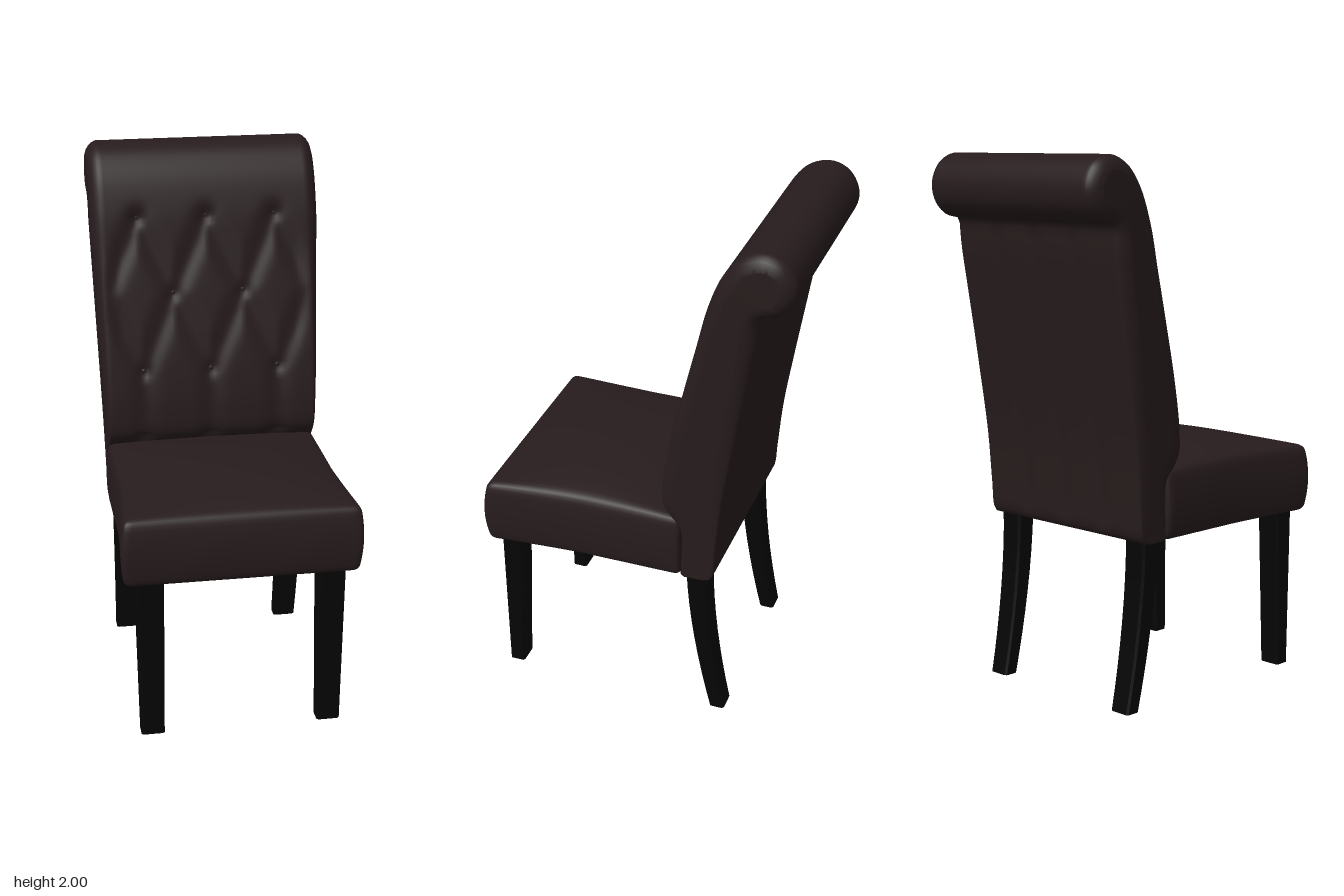
import * as THREE from 'three';
import { mergeVertices } from 'three/addons/utils/BufferGeometryUtils.js';

const leather = new THREE.MeshStandardMaterial({ color: 0x271c1d });
leather.name = 'brown leather';
const wood = new THREE.MeshStandardMaterial({ color: 0x050505 });
wood.name = 'black wood';
const lining = new THREE.MeshStandardMaterial({ color: 0x50442e });
lining.name = 'olive lining';

function add(group, name, geometry, material) {
  const mesh = new THREE.Mesh(geometry, material);
  mesh.name = name;
  group.add(mesh);
  return mesh;
}

function indexed(positions, index) {
  const g = new THREE.BufferGeometry();
  g.setAttribute('position', new THREE.Float32BufferAttribute(positions, 3));
  g.setIndex(index);
  g.computeVertexNormals();
  return g;
}

// Smooth (z, y) curve through a few points
const spline = (pts, n) =>
  new THREE.CatmullRomCurve3(pts.map(([z, y]) => new THREE.Vector3(z, y, 0)), false, 'centripetal')
    .getSpacedPoints(n).map((p) => new THREE.Vector2(p.x, p.y));

const FRONT = spline([[-0.19, 0.63], [-0.186, 0.84], [-0.15, 0.885], [-0.122, 0.93], [-0.12, 1.02], [-0.147, 1.2],
  [-0.192, 1.4], [-0.24, 1.6], [-0.285, 1.78], [-0.335, 1.9], [-0.4, 1.975], [-0.48, 2.0], [-0.55, 1.972],
  [-0.588, 1.9], [-0.578, 1.83], [-0.535, 1.78], [-0.47, 1.762]], 110);
const REAR = spline([[-0.46, 1.74], [-0.453, 1.66], [-0.424, 1.48], [-0.378, 1.2], [-0.34, 0.95],
  [-0.322, 0.75], [-0.312, 0.645], [-0.295, 0.625], [-0.205, 0.62]], 50);
const PROFILE = [...FRONT, ...REAR];

// Tufting: buttons and the folds running between them
const BUTTONS = [[-0.265, 1.74], [0, 1.74], [0.265, 1.74], [-0.135, 1.46], [0.135, 1.46],
  [-0.26, 1.17], [0, 1.17], [0.26, 1.17]];
const FOLDS = [];
for (const s of [-1, 1]) {
  for (const y of [1.74, 1.17]) {
    FOLDS.push([s * 0.135, 1.46, 0, y], [s * 0.135, 1.46, s * 0.262, y], [s * 0.4, 1.46, s * 0.262, y]);
  }
  FOLDS.push([s * 0.26, 1.17, s * 0.26, 0.9]);
}
FOLDS.push([0, 1.17, 0, 0.9]);

function segmentDistance(x, y, [ax, ay, bx, by]) {
  const dx = bx - ax, dy = by - ay;
  const t = THREE.MathUtils.clamp(((x - ax) * dx + (y - ay) * dy) / (dx * dx + dy * dy), 0, 1);
  return Math.hypot(x - ax - t * dx, y - ay - t * dy);
}

function frontDent(x, y) {
  const fold = Math.min(...FOLDS.map((f) => segmentDistance(x, y, f)));
  const button = Math.min(...BUTTONS.map(([bx, by]) => Math.hypot(x - bx, y - by)));
  return 0.014 * Math.exp(-((fold / 0.04) ** 2)) + 0.014 * Math.exp(-((button / 0.025) ** 2));
}

// Padded scroll back: the side profile swept across x, with puffed side panels
function backGeometry() {
  const n = PROFILE.length;
  const normals = PROFILE.map((p, j) => {
    const t = PROFILE[(j + 1) % n].clone().sub(PROFILE[(j + n - 1) % n]).normalize();
    return new THREE.Vector2(t.y, -t.x);
  });
  // [x, inset, share of the side puff]
  const edge = [[0.395, 0, 0], [0.4, 0.003, 0.05], [0.4, 0.008, 0.3], [0.4, 0.018, 0.6], [0.4, 0.032, 0.85], [0.4, 0.05, 1]];
  const stations = [...edge].reverse().map(([x, d, b]) => [-x, d, b]);
  for (let i = 1; i < 60; i++) stations.push([-0.395 + i * 0.79 / 60, 0, 0]);
  stations.push(...edge);

  const pos = [], index = [];
  for (const [x, inset, puff] of stations) {
    PROFILE.forEach((p, j) => {
      let d = inset;
      if (inset === 0) {
        const fade = Math.min(1, (0.395 - Math.abs(x)) / 0.05);
        if (j < 75 && p.y > 0.9 && p.y < 1.9) d += fade * frontDent(x, p.y);
        if (j > FRONT.length && p.y > 0.65) { // vertical pleats behind
          const pleat = Math.min(Math.abs(x), Math.abs(Math.abs(x) - 0.2));
          d += fade * 0.007 * Math.exp(-((pleat / 0.03) ** 2));
        }
      }
      const bulge = puff * 0.037 * THREE.MathUtils.clamp((p.y - 0.62) / 1.1, 0, 1);
      pos.push(x + Math.sign(x) * bulge, p.y - normals[j].y * d, p.x - normals[j].x * d);
    });
  }
  const last = stations.length - 1;
  for (let i = 0; i < last; i++) {
    for (let j = 0; j < n; j++) {
      const a = i * n + j, b = a + n, c = i * n + (j + 1) % n, e = c + n;
      index.push(a, b, e, a, e, c);
    }
  }
  // Flat middles of the side panels
  const ring = PROFILE.map((p, j) => new THREE.Vector2(pos[j * 3 + 2], pos[j * 3 + 1]));
  for (const [a, b, c] of THREE.ShapeUtils.triangulateShape(ring, [])) {
    const ccw = ring[b].clone().sub(ring[a]).cross(ring[c].clone().sub(ring[a])) > 0;
    const [p, q] = ccw ? [b, c] : [c, b];
    index.push(a, p, q, last * n + a, last * n + q, last * n + p);
  }
  return indexed(pos, index);
}

// Seat cushion: a rounded box, domed on top, puffed at the sides and wider in front
function seatGeometry() {
  let g = new THREE.BoxGeometry(2, 2, 2, 30, 16, 30);
  g.deleteAttribute('normal');
  g.deleteAttribute('uv');
  g = mergeVertices(g);
  const P = g.attributes.position;
  const half = new THREE.Vector3(0.42, 0.13, 0.38), r = 0.025;
  const v = new THREE.Vector3(), core = new THREE.Vector3();
  for (let i = 0; i < P.count; i++) {
    v.fromBufferAttribute(P, i);
    v.set(...v.toArray().map((c) => Math.sin(c * Math.PI / 2))).multiply(half);
    core.set(...['x', 'y', 'z'].map((k) => THREE.MathUtils.clamp(v[k], r - half[k], half[k] - r)));
    v.sub(core);
    if (v.length() > 0) v.setLength(r);
    v.add(core);
    const u = v.x / half.x, h = v.y / half.y, w = v.z / half.z;
    const side = 1 - h * h;
    const dome = h > 0.7 ? 0.052 * Math.max(0, 1 - u * u) ** 0.7 * Math.max(0, 1 - Math.abs(w) ** 2.2) : 0;
    const front = Math.max(0, w);
    P.setXYZ(i,
      v.x * (0.957 + 0.065 * front ** 1.3 + 0.03 * side),
      0.75 + v.y + dome,
      0.192 + v.z + 0.018 * side * front ** 4);
  }
  g.computeVertexNormals();
  return g;
}

// Leg: chamfered rectangles [y, x, z, width, depth] joined from the bottom up
function legGeometry(sections) {
  const pos = [], index = [];
  const k = 0.8;
  const ring = [[1, -k], [1, k], [k, 1], [-k, 1], [-1, k], [-1, -k], [-k, -1], [k, -1]];
  for (const [y, x, z, w, d] of sections) {
    for (const [a, b] of ring) pos.push(x + a * w / 2, y, z + b * d / 2);
  }
  const top = (sections.length - 1) * 8;
  for (let s = 0; s < top; s += 8) {
    for (let j = 0; j < 8; j++) {
      const a = s + j, b = s + (j + 1) % 8;
      index.push(a, a + 8, b + 8, a, b + 8, b);
    }
  }
  for (let j = 1; j < 7; j++) index.push(0, j, j + 1, top, top + j + 1, top + j);
  const g = indexed(pos, index).toNonIndexed();
  g.computeVertexNormals();
  return g;
}

export function createModel() {
  const chair = new THREE.Group();
  chair.name = 'diningChair';

  add(chair, 'seatCushion', seatGeometry(), leather);
  add(chair, 'scrollBack', backGeometry(), leather);
  add(chair, 'seatLining', new THREE.BoxGeometry(0.68, 0.006, 0.62), lining).position.set(0, 0.618, 0.18);

  // Tufting buttons sit in the dents of the back
  const buttons = new THREE.Group();
  buttons.name = 'tuftingButtons';
  for (const [x, y] of BUTTONS) {
    const p = FRONT.slice(0, 75).reduce((a, b) => (Math.abs(b.y - y) < Math.abs(a.y - y) ? b : a));
    const button = add(buttons, 'button', new THREE.SphereGeometry(0.01, 12, 8), leather);
    button.scale.z = 0.5;
    button.rotation.x = -0.23;
    button.position.set(x, y, p.x - 0.027);
  }
  chair.add(buttons);

  // Tapered front legs and swept rear legs
  for (const s of [-1, 1]) {
    const side = s > 0 ? 'Left' : 'Right';
    add(chair, 'frontLeg' + side, legGeometry([
      [0, s * 0.33, 0.513, 0.086, 0.06], [0.64, s * 0.333, 0.5, 0.102, 0.085]]), wood);
    const rear = [];
    for (let i = 0; i <= 8; i++) {
      const t = i / 8;
      rear.push([0.64 * t, s * (0.33 + 0.003 * t), -0.245 - 0.086 * (1 - t) ** 1.7, 0.086 + 0.014 * t, 0.058 + 0.022 * t]);
    }
    add(chair, 'rearLeg' + side, legGeometry(rear), wood);
  }
  return chair;
}
